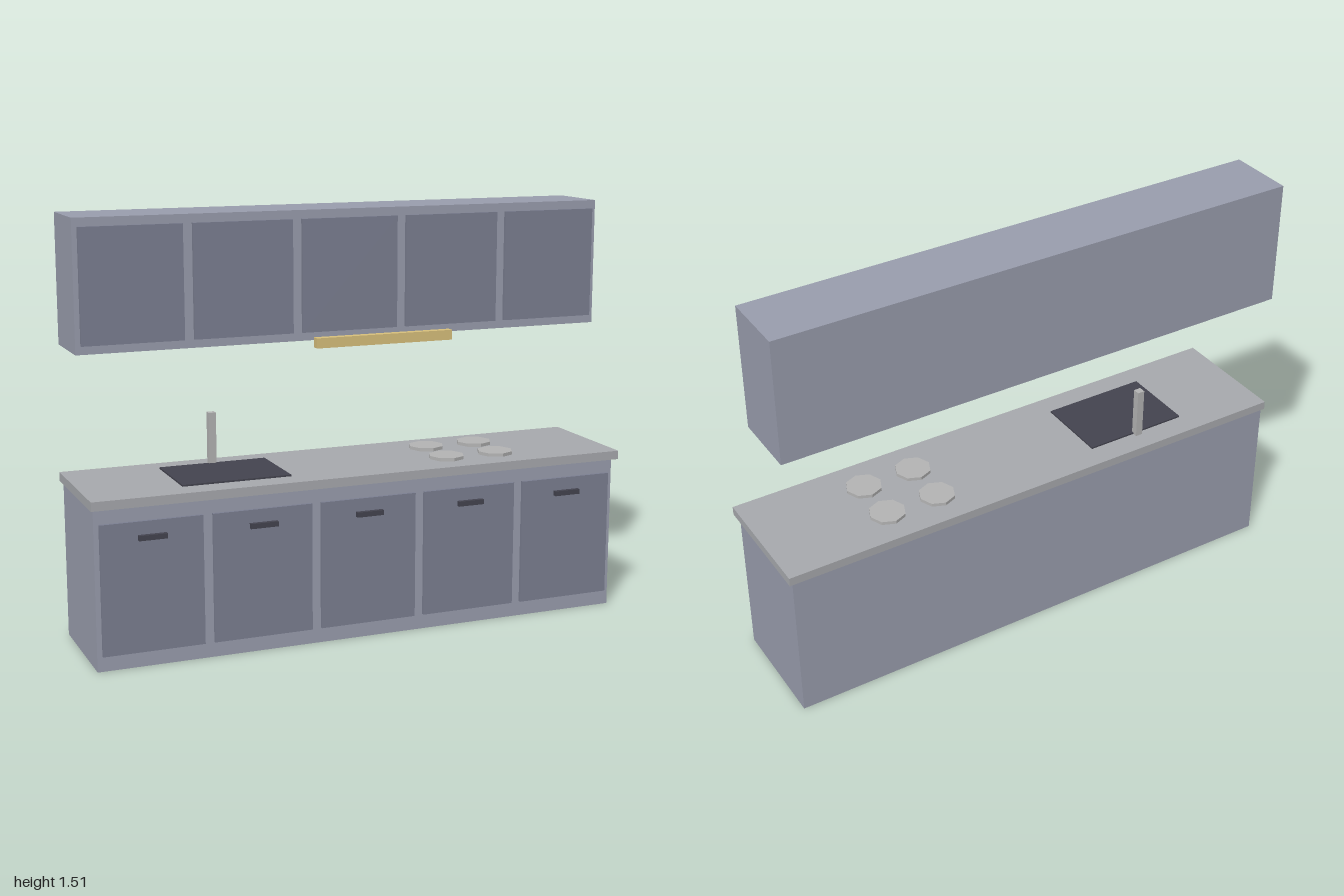
import * as THREE from 'three';

const mat = (color) => new THREE.MeshStandardMaterial({ color, flatShading: true });

export function createModel() {
  const kitchen = new THREE.Group();
  kitchen.name = 'kitchen';
  const cabinet = mat(0x9a9eae);
  const door = mat(0x7c8092);
  const dark = mat(0x44444f);
  const stone = mat(0xa8aaae);
  const metal = mat(0xb4b4b4);
  const brass = mat(0xd8c07c);

  // Box given by its limits on each axis
  const box = (name, material, [x0, x1], [y0, y1], [z0, z1]) => {
    const mesh = new THREE.Mesh(new THREE.BoxGeometry(x1 - x0, y1 - y0, z1 - z0), material);
    mesh.position.set((x0 + x1) / 2, (y0 + y1) / 2, (z0 + z1) / 2);
    mesh.name = name;
    kitchen.add(mesh);
  };

  // Cabinet bodies and worktop
  box('baseCabinet', cabinet, [-0.988, 0.988], [0, 0.568], [-0.223, 0.2]);
  box('wallCabinet', cabinet, [-0.988, 0.988], [1.056, 1.514], [-0.223, 0.027]);
  box('worktop', stone, [-1, 1], [0.568, 0.6], [-0.229, 0.229]);

  // Five doors above and below, with a handle on each lower door
  for (let i = -2; i <= 2; i++) {
    const x = i * 0.395;
    box('baseDoor', door, [x - 0.18, x + 0.18], [0.055, 0.514], [0.199, 0.212]);
    box('doorHandle', dark, [x - 0.05, x + 0.05], [0.45, 0.468], [0.211, 0.228]);
    box('wallDoor', door, [x - 0.18, x + 0.18], [1.086, 1.484], [0.026, 0.04]);
  }

  // Sink and tap
  box('sink', dark, [-0.66, -0.265], [0.598, 0.606], [-0.14, 0.14]);
  box('tap', metal, [-0.477, -0.45], [0.6, 0.79], [-0.157, -0.131]);

  // Cooker hood strip
  box('hood', brass, [-0.134, 0.39], [1.03, 1.066], [0.025, 0.057]);

  // Four octagonal hob rings
  const ringGeometry = new THREE.CylinderGeometry(0.066, 0.066, 0.013, 8);
  for (const x of [0.359, 0.557]) {
    for (const z of [-0.088, 0.088]) {
      const ring = new THREE.Mesh(ringGeometry, metal);
      ring.position.set(x, 0.6055, z);
      ring.name = 'hobRing';
      kitchen.add(ring);
    }
  }
  return kitchen;
}
